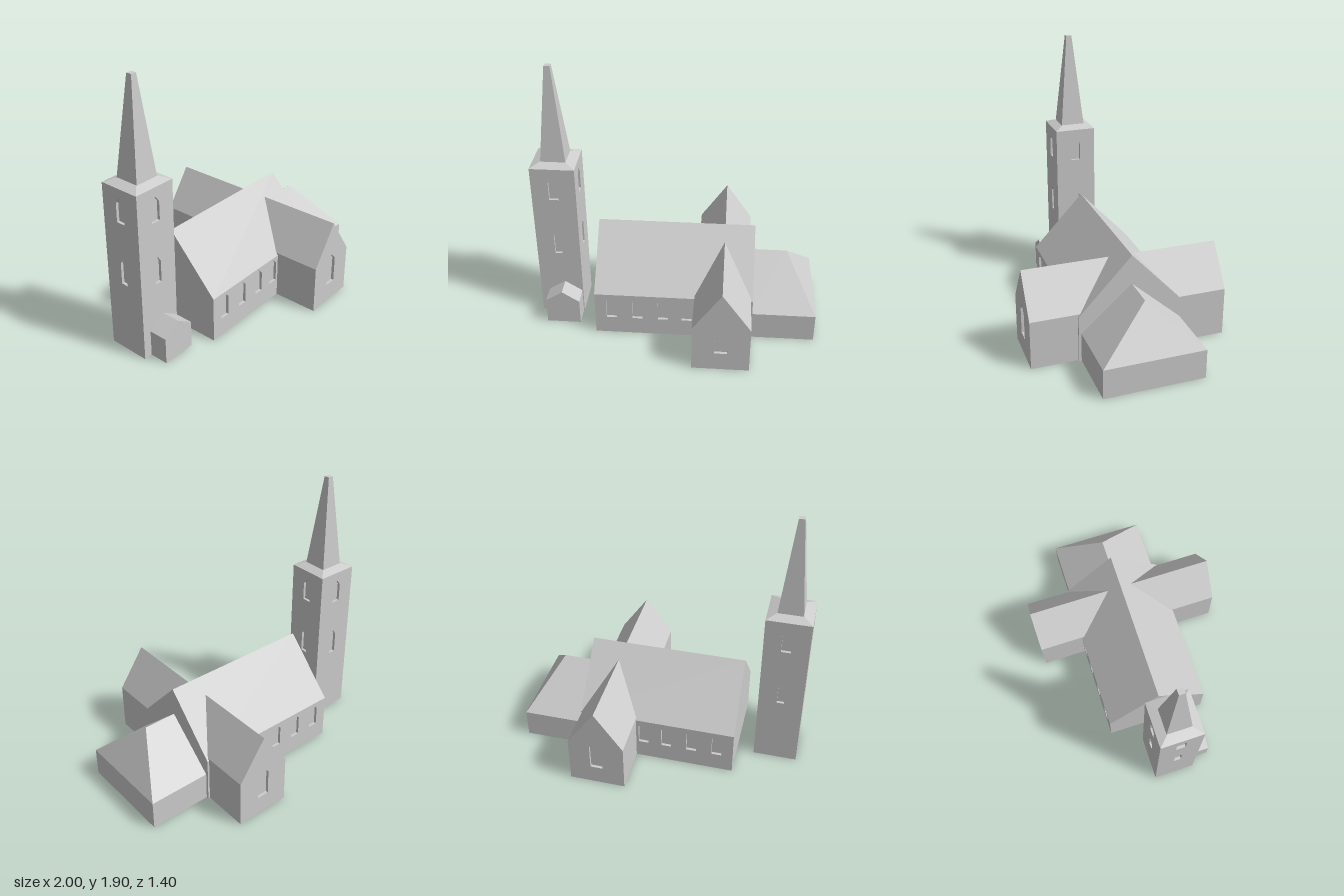
import * as THREE from 'three';

const RECESS = 0.02; // depth of the window niches

export function createModel() {
  const stone = new THREE.MeshStandardMaterial({ color: 0xcccccc });
  stone.name = 'pale stone';
  const model = new THREE.Group();
  model.name = 'church';

  const add = (parent, name, geometry, x = 0, y = 0, z = 0, turn = 0) => {
    const mesh = new THREE.Mesh(geometry, stone);
    mesh.name = name;
    mesh.position.set(x, y, z);
    mesh.rotation.y = turn;
    parent.add(mesh);
    return mesh;
  };
  const group = (name, x = 0, z = 0) => {
    const g = new THREE.Group();
    g.name = name;
    g.position.set(x, 0, z);
    model.add(g);
    return g;
  };
  const outline = (points) => points.map(([x, y]) => new THREE.Vector2(x, y));

  // Extrudes an outline along +z, with pointed windows cut through it
  const extrude = (points, depth, windows = []) => {
    const shape = new THREE.Shape(outline(points));
    for (const { x = 0, w, bottom, shoulder, tip } of windows) {
      shape.holes.push(new THREE.Path(outline([
        [x - w / 2, bottom], [x - w / 2, shoulder], [x, tip], [x + w / 2, shoulder], [x + w / 2, bottom],
      ])));
    }
    return new THREE.ExtrudeGeometry(shape, { depth, bevelEnabled: false });
  };
  const rect = (x0, x1, h) => [[x0, 0], [x1, 0], [x1, h], [x0, h]];
  const gable = (half, eaves, ridge) => [[-half, 0], [half, 0], [half, eaves], [0, ridge], [-half, eaves]];

  // Square frustum with flat faces
  const frustum = (topHalf, bottomHalf, height) => {
    const g = new THREE.CylinderGeometry(topHalf * Math.SQRT2, bottomHalf * Math.SQRT2, height, 4)
      .rotateY(Math.PI / 4).translate(0, height / 2, 0).toNonIndexed();
    g.computeVertexNormals();
    return g;
  };

  // Tower: inner core, four pierced walls, sloped cap and spire
  const tower = group('tower', -0.845);
  const tw = 0.155, td = 0.15, th = 1.21;
  add(tower, 'towerCore', new THREE.BoxGeometry(2 * (tw - RECESS), th, 2 * (td - RECESS)), 0, th / 2, 0);
  const towerWindows = [
    { w: 0.052, bottom: 0.52, shoulder: 0.675, tip: 0.715 },
    { w: 0.067, bottom: 0.97, shoulder: 1.105, tip: 1.145 },
  ];
  for (let i = 0; i < 4; i++) {
    const side = i % 2 === 1;
    const half = side ? td - RECESS : tw;
    const wall = extrude(rect(-half, half, th), RECESS, towerWindows);
    wall.translate(0, 0, (side ? tw : td) - RECESS);
    add(tower, 'towerWall', wall, 0, 0, 0, i * Math.PI / 2);
  }
  add(tower, 'towerCap', frustum(0.085, tw, 0.027), 0, th, 0).scale.z = td / tw;
  add(tower, 'spire', frustum(0.02, 0.087, 0.67), 0, 1.235, 0);

  // Small porch in front of the tower
  add(model, 'porch', extrude(gable(0.122, 0.19, 0.27), 0.145), -0.818, 0, 0.14);

  // Nave: gabled body with narrowed walls, and a pierced wall on each side
  const nave = group('nave');
  const nz = 0.37, eaves = 0.335, inner = nz - RECESS, x0 = -0.565, x1 = 0.555;
  const body = extrude([
    [-inner, 0], [inner, 0], [inner, eaves], [nz, eaves], [0, 0.73], [-nz, eaves], [-inner, eaves],
  ], x1 - x0).rotateY(Math.PI / 2);
  add(nave, 'naveBody', body, x0);
  for (const s of [1, -1]) {
    const windows = [-0.447, -0.262, -0.078, 0.09].map((x) => (
      { x: x * s, w: 0.072, bottom: 0.135, shoulder: 0.283, tip: 0.318 }));
    const wall = extrude(s > 0 ? rect(x0, x1, eaves) : rect(-x1, -x0, eaves), RECESS, windows);
    wall.translate(0, 0, inner);
    add(nave, 'naveWall', wall, 0, 0, 0, s > 0 ? 0 : Math.PI);
  }

  // Transept: one arm to the front and one to the back
  const transept = group('transept', 0.343);
  const profile = gable(0.198, 0.35, 0.635);
  for (const turn of [0, Math.PI]) {
    add(transept, 'transeptArm', extrude(profile, 0.698 - RECESS), 0, 0, 0, turn);
    const end = extrude(profile, RECESS, [{ w: 0.09, bottom: 0.14, shoulder: 0.33, tip: 0.38 }]);
    end.translate(0, 0, 0.698 - RECESS);
    add(transept, 'transeptGable', end, 0, 0, 0, turn);
  }

  // Chancel: low walls under a roof hipped at its far end
  const chancel = group('chancel');
  const cx = 0.54, cz = 0.352, ch = 0.21, length = 1 - cx;
  add(chancel, 'chancelWalls', new THREE.BoxGeometry(length, ch, 2 * cz), cx + length / 2, ch / 2, 0);
  const roof = extrude([[-cz, 0], [cz, 0], [0, 0.313]], length).rotateY(Math.PI / 2);
  const p = roof.attributes.position;
  for (let i = 0; i < p.count; i++) {
    if (p.getY(i) > 0.1 && p.getX(i) > 0.1) p.setX(i, 0.79 - cx); // pull the ridge end back
  }
  roof.computeVertexNormals();
  add(chancel, 'chancelRoof', roof, cx, ch, 0);

  return model;
}
